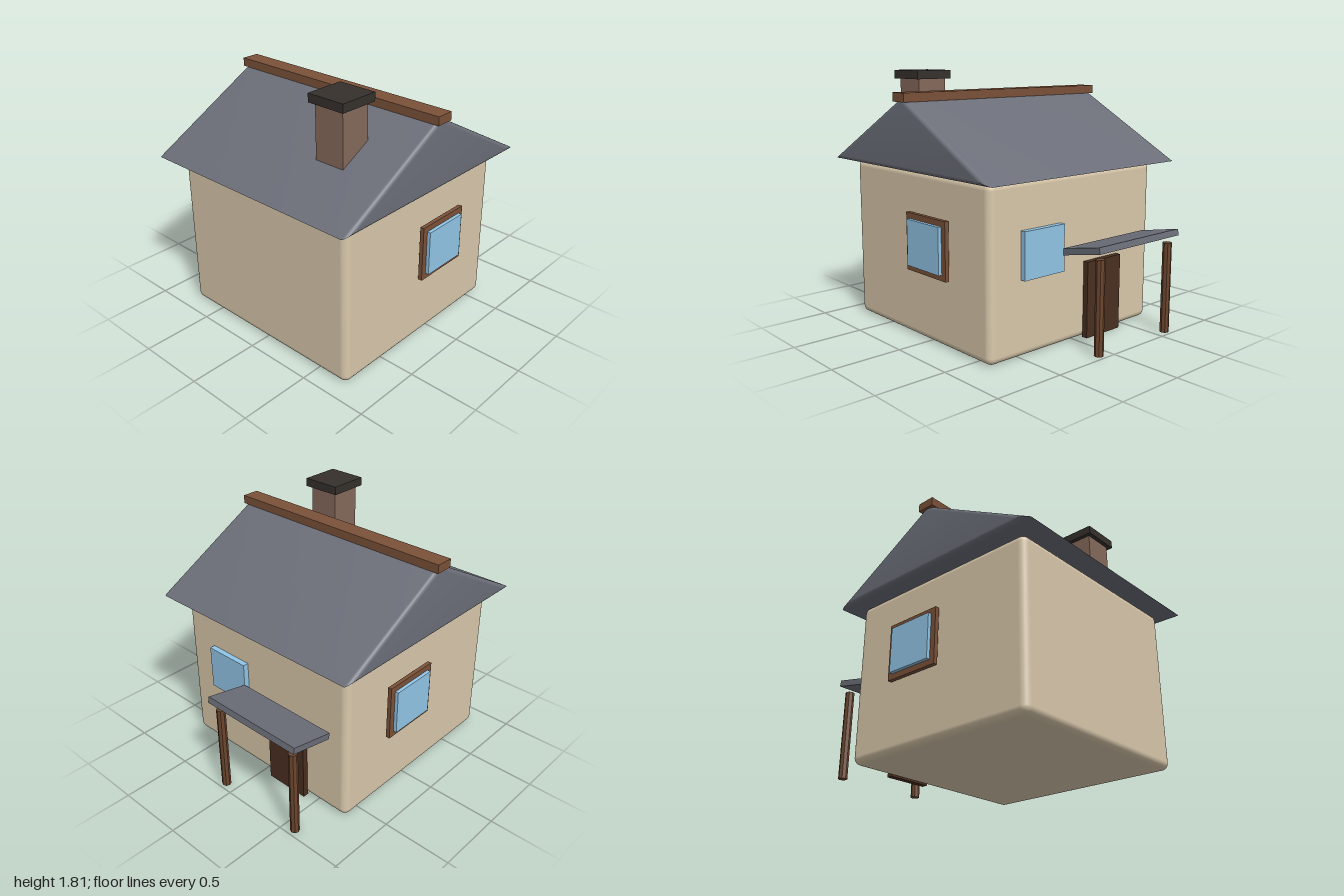
import * as THREE from 'three';
import { toCreasedNormals } from 'three/addons/utils/BufferGeometryUtils.js';
import { RoundedBoxGeometry } from 'three/addons/geometries/RoundedBoxGeometry.js';

const paint = (color, flatShading = false) => {
  const m = new THREE.MeshStandardMaterial({ color });
  m.flatShading = flatShading;
  return m;
};

// Gable prism along x whose end edges are rounded by radius t
function gableGeometry(halfLength, halfSpan, base, height, t, steps = 6) {
  const side = Math.hypot(halfSpan, height);
  const inradius = (halfSpan * height) / (halfSpan + side);
  const corners = [[halfSpan, 0], [-halfSpan, 0], [0, height]]; // z, y
  const rings = [];
  for (const s of [-1, 1]) {
    for (let k = 0; k <= steps; k++) {
      const a = ((s < 0 ? steps - k : k) / steps) * Math.PI / 2;
      rings.push({ x: s * (halfLength - t * (1 - Math.sin(a))), scale: 1 - (t * (1 - Math.cos(a))) / inradius });
    }
  }
  const pos = [], idx = [];
  for (const { x, scale } of rings) {
    for (const [z, y] of corners) pos.push(x, base + inradius + (y - inradius) * scale, z * scale);
  }
  for (let i = 0; i < rings.length - 1; i++) {
    for (let j = 0; j < 3; j++) {
      const a = i * 3 + j, b = i * 3 + ((j + 1) % 3);
      idx.push(a, b, b + 3, a, b + 3, a + 3);
    }
  }
  const last = (rings.length - 1) * 3;
  idx.push(0, 2, 1, last, last + 1, last + 2);
  const g = new THREE.BufferGeometry();
  g.setAttribute('position', new THREE.Float32BufferAttribute(pos, 3));
  g.setIndex(idx);
  return toCreasedNormals(g, 0.5);
}

export function createModel() {
  const house = new THREE.Group();
  house.name = 'cottage';

  const wall = paint(0xd9c8ab), slate = paint(0x6b6e78), wood = paint(0x7a5138);
  const glass = paint(0x92c5e6), doorWood = paint(0x4a2f20), brick = paint(0x85695a);
  const soot = paint(0x35302c), postWood = paint(0x6b452e, true);

  const add = (name, geometry, material, x = 0, y = 0, z = 0) => {
    const mesh = new THREE.Mesh(geometry, material);
    mesh.name = name;
    mesh.position.set(x, y, z);
    house.add(mesh);
    return mesh;
  };
  // Box given by its min and max on each axis
  const box = (name, material, [x0, x1], [y0, y1], [z0, z1]) =>
    add(name, new THREE.BoxGeometry(x1 - x0, y1 - y0, z1 - z0), material,
      (x0 + x1) / 2, (y0 + y1) / 2, (z0 + z1) / 2);

  const cx = -0.003, cz = 0.115;

  // Walls and roof
  add('walls', new RoundedBoxGeometry(1.515, 1.165, 1.51, 5, 0.05), wall, cx, 0.5825, cz);
  add('roof', gableGeometry(0.87, 0.885, 1.168, 0.482, 0.03), slate, cx, 0, cz);
  box('ridgeBeam', wood, [cx - 0.886, cx + 0.886], [1.62, 1.68], [0.05, 0.178]);

  // Chimney
  box('chimney', brick, [0.288, 0.515], [1.28, 1.75], [0.403, 0.63]);
  box('chimneyCap', soot, [0.258, 0.545], [1.75, 1.81], [0.373, 0.66]);

  // Framed side windows
  for (const s of [-1, 1]) {
    const side = s > 0 ? 'left' : 'right';
    const span = (a, b) => (s > 0 ? [cx + a, cx + b] : [cx - b, cx - a]);
    box(side + 'WindowFrame', wood, span(0.778, 0.807), [0.48, 0.88], [-0.26, 0.17]);
    box(side + 'WindowGlass', glass, span(0.79, 0.832), [0.52, 0.84], [-0.22, 0.13]);
  }

  // Back window and door
  box('backWindow', glass, [0.147, 0.497], [0.52, 0.84], [-0.68, -0.635]);
  box('door', doorWood, [-0.41, -0.08], [0, 0.54], [-0.68, -0.635]);

  // Porch: tilted slab on two posts
  add('porchRoof', new THREE.BoxGeometry(0.803, 0.045, 0.324), slate, -0.245, 0.685, -0.836).rotation.x = 0.2;
  for (const s of [-1, 1]) {
    add('porchPost', new THREE.CylinderGeometry(0.032, 0.032, 0.645, 8), postWood, -0.248 + s * 0.341, 0.3225, -0.948);
  }
  return house;
}
